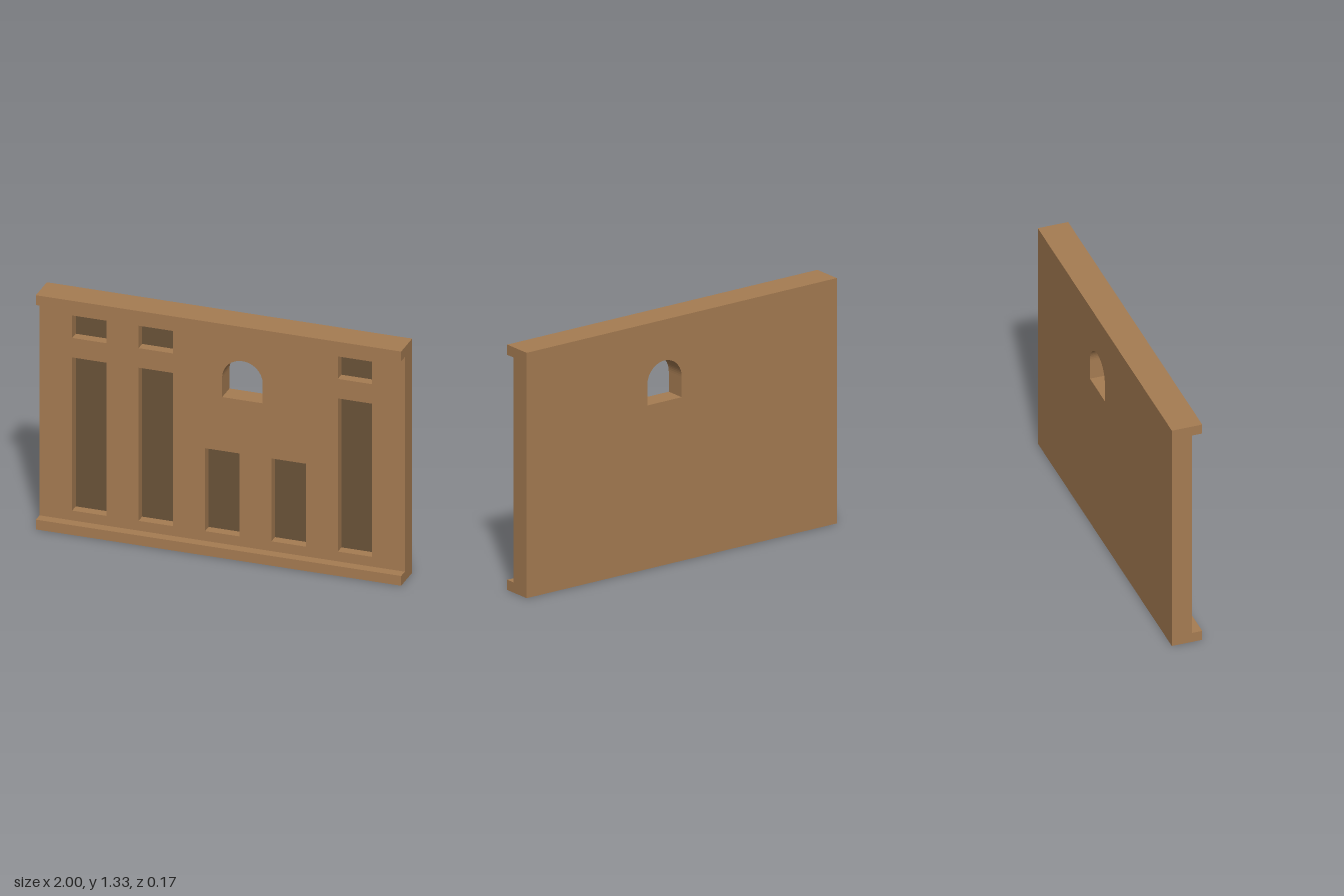
import * as THREE from 'three';

const W = 2, H = 1.333, LAYER = 0.0555;   // the wall is two layers deep, the rails add a third
const BACK = -0.0833, MID = BACK + LAYER, FRONT = MID + LAYER;

const wood = new THREE.MeshStandardMaterial({ color: 0xa67c52 });
const darkWood = new THREE.MeshStandardMaterial({ color: 0x6b5339 });

// Recessed panels: [centre x, bottom, top]
const PANEL_W = 0.188, PITCH = 0.3636;
const panels = [];
for (const i of [-2, -1, 2]) {
  panels.push([i * PITCH, 0.111, 0.983], [i * PITCH, 1.094, 1.222]);
}
for (const i of [0, 1]) panels.push([i * PITCH, 0.111, 0.583]);

function rectangle(Type, x0, y0, x1, y1) {
  const p = new Type();
  p.moveTo(x0, y0);
  p.lineTo(x1, y0);
  p.lineTo(x1, y1);
  p.lineTo(x0, y1);
  p.closePath();
  return p;
}

// Round-topped window opening
function archHole() {
  const r = 0.111, p = new THREE.Path();
  p.moveTo(0, 0.889);
  p.lineTo(2 * r, 0.889);
  p.lineTo(2 * r, 1);
  p.absarc(r, 1, r, 0, Math.PI, false);
  p.closePath();
  return p;
}

function wallLayer(name, z, holes) {
  const shape = rectangle(THREE.Shape, -W / 2, 0, W / 2, H);
  shape.holes.push(archHole(), ...holes);
  const geometry = new THREE.ExtrudeGeometry(shape, { depth: LAYER, bevelEnabled: false, curveSegments: 16 });
  const mesh = new THREE.Mesh(geometry, wood);
  mesh.name = name;
  mesh.position.z = z;
  return mesh;
}

export function createModel() {
  const group = new THREE.Group();
  group.name = 'panelledWall';

  // Solid back layer, and a front layer cut out for the panels
  const cutouts = panels.map(([x, y0, y1]) =>
    rectangle(THREE.Path, x - PANEL_W / 2, y0, x + PANEL_W / 2, y1));
  group.add(wallLayer('wallBack', BACK, []), wallLayer('wallFront', MID, cutouts));

  // Dark floors of the recesses
  for (const [x, y0, y1] of panels) {
    const floor = new THREE.Mesh(new THREE.PlaneGeometry(PANEL_W, y1 - y0), darkWood);
    floor.name = 'recessedPanel';
    floor.position.set(x, (y0 + y1) / 2, MID + 0.001);
    group.add(floor);
  }

  // Projecting rails along the bottom and top
  for (const [name, y] of [['bottomRail', LAYER / 2], ['topRail', H - LAYER / 2]]) {
    const rail = new THREE.Mesh(new THREE.BoxGeometry(W, LAYER, LAYER), wood);
    rail.name = name;
    rail.position.set(0, y, FRONT + LAYER / 2);
    group.add(rail);
  }

  return group;
}
